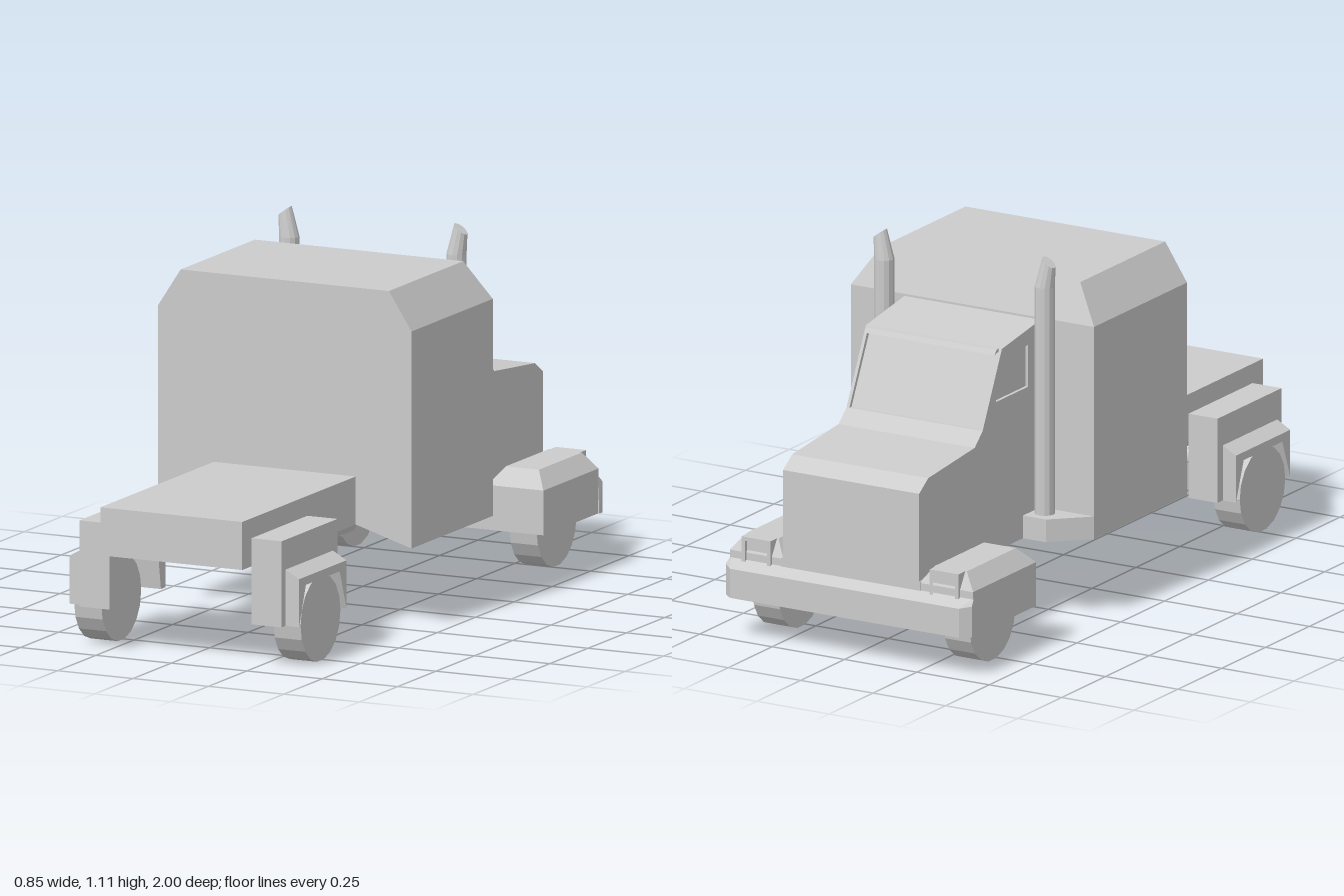
import * as THREE from 'three';
import { ConvexGeometry } from 'three/addons/geometries/ConvexGeometry.js';

const grey = new THREE.MeshStandardMaterial({ color: 0xcccccc, flatShading: true });

const toShape = (pts) => new THREE.Shape(pts.map(([a, b]) => new THREE.Vector2(a, b)));

// Move every vertex by a rule, then refresh the normals.
function reshape(geometry, rule) {
  const p = geometry.attributes.position;
  const v = new THREE.Vector3();
  for (let i = 0; i < p.count; i++) {
    rule(v.fromBufferAttribute(p, i));
    p.setXYZ(i, v.x, v.y, v.z);
  }
  geometry.computeVertexNormals();
  return geometry;
}

// Side profile in (z, y), extruded across x from xa to xb.
function acrossX(pts, xa, xb, hole) {
  const shape = toShape(pts);
  if (hole) shape.holes.push(toShape(hole));
  const g = new THREE.ExtrudeGeometry(shape, { depth: Math.abs(xb - xa), bevelEnabled: false });
  return g.rotateY(-Math.PI / 2).translate(Math.max(xa, xb), 0, 0);
}

// Front profile in (x, y), extruded along z from za up to zb.
function alongZ(pts, za, zb, hole) {
  const shape = toShape(pts);
  if (hole) shape.holes.push(toShape(hole));
  return new THREE.ExtrudeGeometry(shape, { depth: zb - za, bevelEnabled: false }).translate(0, 0, za);
}

const box = (x0, x1, y0, y1, z0, z1) =>
  new THREE.BoxGeometry(Math.abs(x1 - x0), y1 - y0, z1 - z0)
    .translate((x0 + x1) / 2, (y0 + y1) / 2, (z0 + z1) / 2);

const hull = (pts) => new ConvexGeometry(pts.map((p) => new THREE.Vector3(...p)));

export function createModel() {
  const truck = new THREE.Group();
  truck.name = 'truck';
  const add = (name, geometry) => {
    const mesh = new THREE.Mesh(geometry, grey);
    mesh.name = name;
    truck.add(mesh);
    return mesh;
  };

  // Sleeper: lower body with a raised tunnel floor that slopes down to the front
  add('sleeperBody', reshape(
    alongZ([[-0.42, 0.25], [-0.235, 0.305], [0.235, 0.305], [0.42, 0.25], [0.42, 0.905], [-0.42, 0.905]], -0.27, 0.26),
    (v) => { if (v.z < 0 && v.y < 0.4) v.y = 0.25; }));

  // Sleeper roof: chamfered sides and a sloped front
  add('sleeperRoof', reshape(
    alongZ([[-0.42, 0.905], [0.42, 0.905], [0.345, 1.02], [-0.345, 1.02]], -0.27, 0.26),
    (v) => { if (v.z < 0 && v.y > 1) v.z = -0.225; }));

  // Cab and hood: a core with a sunken windscreen between two side panels
  const cabSide = [[-0.26, 0.25], [-0.26, 0.9], [-0.49, 0.865], [-0.6, 0.64], [-0.645, 0.6],
    [-0.91, 0.575], [-0.962, 0.54], [-0.962, 0.25]];
  const cabCore = [[-0.26, 0.25], [-0.26, 0.9], [-0.49, 0.865], [-0.494, 0.855], [-0.484, 0.85],
    [-0.588, 0.64], [-0.6, 0.64], [-0.645, 0.6], [-0.91, 0.575], [-0.962, 0.54], [-0.962, 0.25]];
  const sideWindow = [[-0.34, 0.71], [-0.34, 0.84], [-0.47, 0.825], [-0.525, 0.71]];
  add('cabCore', acrossX(cabCore, -0.225, 0.225));
  add('sunVisor', acrossX([[-0.48, 0.866], [-0.505, 0.864], [-0.515, 0.85], [-0.5, 0.855], [-0.48, 0.858]], -0.225, 0.225));

  // Lower front body between the front fenders
  add('frontUnderbody', box(-0.24, 0.24, 0.13, 0.27, -0.962, -0.6));

  // Front bumper with cut corners and a sloped top edge
  const bumper = [];
  for (const s of [-1, 1]) {
    bumper.push([s * 0.425, 0.13, -0.955], [s * 0.425, 0.13, -0.975], [s * 0.395, 0.13, -1],
      [s * 0.425, 0.225, -0.975], [s * 0.395, 0.22, -1], [s * 0.42, 0.245, -0.955]);
  }
  add('frontBumper', hull(bumper));

  // Flat rear bed and the thin frame beneath it
  add('rearBed', box(-0.235, 0.235, 0.305, 0.45, 0.25, 1));
  add('bedFrame', hull([-0.235, 0.235].flatMap((x) => [
    [x, 0.306, 0.25], [x, 0.306, 0.8], [x * 0.95, 0.285, 0.25], [x * 0.95, 0.285, 0.6]])));

  for (const s of [-1, 1]) {
    const side = s > 0 ? 'left' : 'right';

    add(side + 'CabPanel', acrossX(cabSide, s * 0.225, s * 0.235, sideWindow));

    // Front fender: block with a chamfered top
    add(side + 'FrontFender', hull([
      ...[0.235, 0.42].flatMap((x) => [-0.6, -0.96].flatMap((z) => [[s * x, 0.13, z], [s * x, 0.265, z]])),
      ...[0.27, 0.38].flatMap((x) => [[s * x, 0.315, -0.65], [s * x, 0.315, -0.93]]),
    ]));

    // Headlight: open frame around a sunken lens
    const rect = (x0, x1, y0, y1) => [[s * x0, y0], [s * x1, y0], [s * x1, y1], [s * x0, y1]];
    add(side + 'HeadlightFrame', alongZ(rect(0.275, 0.375, 0.225, 0.315), -0.968, -0.92, rect(0.287, 0.363, 0.237, 0.303)));
    add(side + 'HeadlightLens', box(s * 0.28, s * 0.37, 0.23, 0.31, -0.956, -0.92));

    // Step under the exhaust stack
    add(side + 'Step', hull([0.25, 0.32].flatMap((y) => [
      [s * 0.23, y, -0.265], [s * 0.42, y, -0.27], [s * 0.315, y, -0.37], [s * 0.23, y, -0.37]])));

    // Exhaust stack: straight pipe, then a leaning tip cut at a slant
    add(side + 'ExhaustPipe', new THREE.CylinderGeometry(0.03, 0.03, 0.7, 12)
      .translate(s * 0.277, 0.67, -0.315));
    const tip = new THREE.CylinderGeometry(0.02, 0.03, 0.1, 12).translate(0, 0.05, 0);
    add(side + 'ExhaustTip', reshape(tip, (v) => {
      if (v.y > 0.05) {
        v.y = 0.076 - s * v.x * 0.75;
        v.x += s * 0.014;
      }
      v.x += s * 0.277;
      v.y += 1.02;
      v.z -= 0.315;
    }));

    // Rear fender: inner arch plus an outer flare with a sloped top
    add(side + 'RearFender', acrossX([[0.94, 0.13], [0.94, 0.39], [0.575, 0.39], [0.575, 0.13],
      [0.605, 0.13], [0.63, 0.28], [0.89, 0.28], [0.91, 0.13]], s * 0.235, s * 0.335));
    add(side + 'RearFlare', reshape(
      acrossX([[0.915, 0.13], [0.915, 0.3], [0.605, 0.3], [0.605, 0.13], [0.65, 0.25], [0.87, 0.25]], s * 0.335, s * 0.38),
      (v) => { if (Math.abs(v.x) > 0.36 && v.y > 0.29) v.y = 0.275; }));

    // Wheels
    for (const [end, z] of [['Front', -0.775], ['Rear', 0.765]]) {
      add(side + end + 'Wheel', new THREE.CylinderGeometry(0.13, 0.13, 0.09, 18)
        .rotateZ(Math.PI / 2).translate(s * 0.33, 0.13, z));
    }
  }
  return truck;
}
